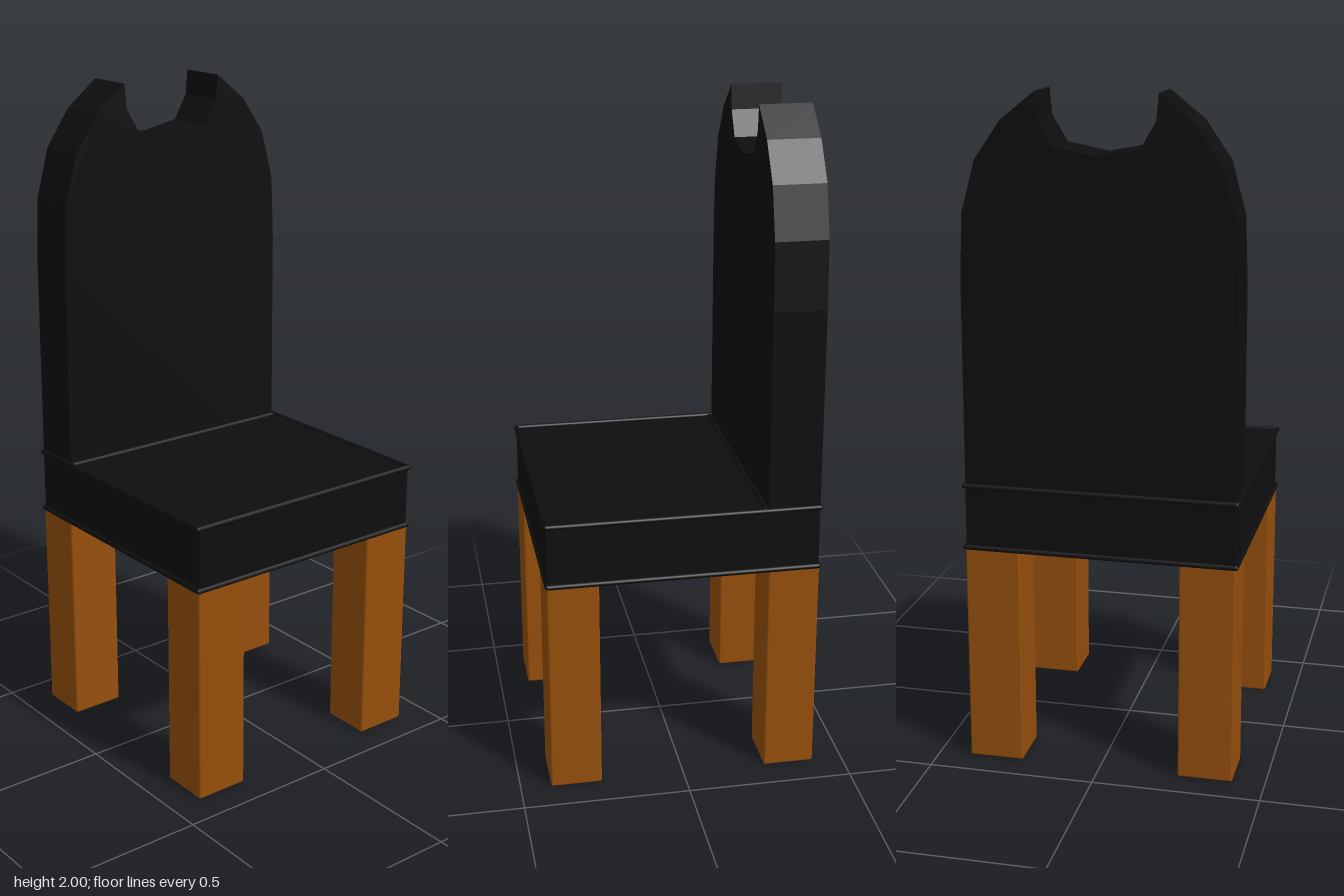
import * as THREE from 'three';
import { RoundedBoxGeometry } from 'three/addons/geometries/RoundedBoxGeometry.js';

const fabric = new THREE.MeshStandardMaterial({ color: 0x0e0e0e });
const wood = new THREE.MeshStandardMaterial({ color: 0x964f0c });

function add(parent, name, geometry, material, x = 0, y = 0, z = 0) {
  const mesh = new THREE.Mesh(geometry, material);
  mesh.name = name;
  mesh.position.set(x, y, z);
  parent.add(mesh);
  return mesh;
}

// Rounded cord running along x or z
function cord(parent, name, length, alongX, x, y, z) {
  const mesh = add(parent, name, new THREE.CapsuleGeometry(0.008, length, 4, 10), fabric, x, y, z);
  if (alongX) mesh.rotation.z = Math.PI / 2;
  else mesh.rotation.x = Math.PI / 2;
}

export function createModel() {
  const chair = new THREE.Group();
  chair.name = 'chair';

  // Four square legs with slightly softened edges
  for (const side of [-1, 1]) {
    for (const end of [-1, 1]) {
      add(chair, (end > 0 ? 'front' : 'back') + (side > 0 ? 'Left' : 'Right') + 'Leg',
        new RoundedBoxGeometry(0.165, 0.675, 0.155, 2, 0.006), wood,
        side * 0.321, 0.3375, end * 0.33);
    }
  }

  // Thick seat cushion
  add(chair, 'seat', new THREE.BoxGeometry(0.8, 0.19, 0.81), fabric, 0, 0.765, 0);

  // Piping around the upper and lower seat edges
  const piping = new THREE.Group();
  piping.name = 'piping';
  chair.add(piping);
  for (const y of [0.67, 0.859]) {
    for (const s of [-1, 1]) {
      cord(piping, s > 0 ? 'frontPiping' : 'backPiping', 0.805, true, 0, y, s * 0.404);
      cord(piping, s > 0 ? 'leftPiping' : 'rightPiping', 0.805, false, s * 0.403, y, 0);
    }
  }
  // Low seam where the backrest meets the seat
  cord(piping, 'backrestSeam', 0.785, true, 0, 0.859, -0.242);

  // Backrest outline: rounded shoulders, two points and a scooped notch
  const half = [
    [0.4, 0.67], [0.398, 1.46], [0.39, 1.66], [0.349, 1.81],
    [0.273, 1.92], [0.173, 2.0], [0.166, 1.925], [0.122, 1.85],
  ];
  const mirrored = half.map(([x, y]) => [-x, y]).reverse();
  const outline = [...half, [0, 1.826], ...mirrored];
  const shape = new THREE.Shape(outline.map(([x, y]) => new THREE.Vector2(x, y)));
  add(chair, 'backrest',
    new THREE.ExtrudeGeometry(shape, { depth: 0.155, bevelEnabled: false }), fabric, 0, 0, -0.405);

  return chair;
}
